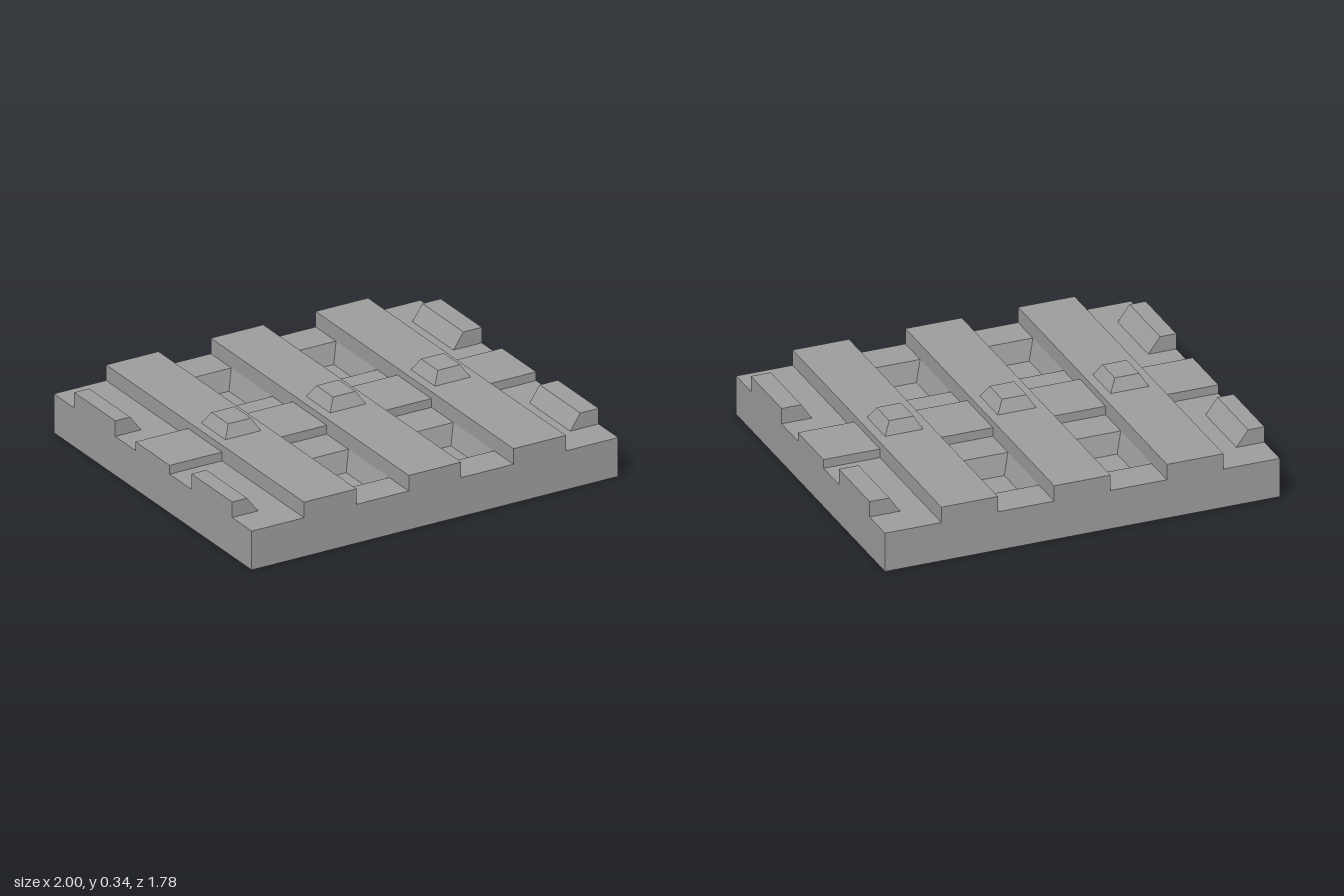
import * as THREE from 'three';

const material = new THREE.MeshStandardMaterial({ color: 0x9c9c9c, flatShading: true });

// Box face numbers
const RIGHT = 0, LEFT = 1, TOP = 2, BOTTOM = 3, FRONT = 4, BACK = 5;

// Block spanning x, y and z ranges. inset = [left, right, back, front] moves the sides in
// at the top (or at the bottom for a sunken pit); only the faces in keep are made.
function block(name, [x0, x1], [y0, y1], [z0, z1], { inset = [0, 0, 0, 0], keep, sunken = false } = {}) {
  const faces = keep ?? [RIGHT, LEFT, TOP, FRONT, BACK];
  const box = new THREE.BoxGeometry(1, 1, 1);
  const pos = box.attributes.position;
  for (let i = 0; i < pos.count; i++) {
    const k = (pos.getY(i) > 0) !== sunken ? 1 : 0;
    pos.setXYZ(i,
      pos.getX(i) < 0 ? x0 + k * inset[0] : x1 - k * inset[1],
      pos.getY(i) < 0 ? y0 : y1,
      pos.getZ(i) < 0 ? z0 + k * inset[2] : z1 - k * inset[3]);
  }
  const source = Array.from(box.index.array);
  const index = faces.flatMap(f => source.slice(f * 6, f * 6 + 6));
  if (sunken) index.reverse(); // a pit is seen from the inside
  box.setIndex(index);
  box.clearGroups();
  const geometry = box.toNonIndexed();
  geometry.computeVertexNormals();
  const mesh = new THREE.Mesh(geometry, material);
  mesh.name = name;
  return mesh;
}

export function createModel() {
  const model = new THREE.Group();
  model.name = 'interlockingTile';

  const depth = 0.89, floorY = 0.2, ribY = 0.28, barY = 0.245, pitY = 0.1;
  const fullZ = [-depth, depth];
  const barZ = [-0.155, 0.152];
  const cellZ = [[-0.706, -0.337], [0.348, 0.714]];
  const ribs = [[-5 / 7, -3 / 7], [-1 / 7, 1 / 7], [3 / 7, 5 / 7]];
  const channels = [[-1, -5 / 7], [-3 / 7, -1 / 7], [1 / 7, 3 / 7], [5 / 7, 1]];

  // Plate sides and underside
  model.add(block('basePlate', [-1, 1], [0, floorY], fullZ,
    { keep: [RIGHT, LEFT, BOTTOM, FRONT, BACK] }));

  // Long ribs, each with a small tapered stud in the middle
  for (const rib of ribs) {
    model.add(block('rib', rib, [floorY, ribY], fullZ));
    const cx = (rib[0] + rib[1]) / 2;
    model.add(block('stud', [cx - 0.097, cx + 0.097], [ribY, 0.34], [-0.108, 0.108],
      { inset: [0.035, 0.035, 0.033, 0.033] }));
  }

  channels.forEach((channel, i) => {
    // Raised bar across the channel
    model.add(block('crossBar', channel, [floorY, barY], barZ));

    const isEdge = i === 0 || i === channels.length - 1;
    const floors = isEdge
      ? [[-depth, barZ[0]], [barZ[1], depth]]
      : [[-depth, cellZ[0][0]], [cellZ[0][1], barZ[0]], [barZ[1], cellZ[1][0]], [cellZ[1][1], depth]];
    for (const z of floors) {
      model.add(block('channelFloor', channel, [0, floorY], z, { keep: [TOP] }));
    }

    for (const z of cellZ) {
      if (isEdge) {
        // Half lug on the outer edge, sloping inwards
        const x = i === 0 ? [-1, -0.858] : [0.845, 1];
        const inset = i === 0 ? [0, 0.06, 0, 0] : [0.055, 0, 0, 0];
        model.add(block('edgeLug', x, [floorY, ribY], z, { inset }));
      } else {
        // Tapered pit in the channel floor
        model.add(block('pit', channel, [pitY, floorY], z, {
          inset: [0.032, 0.032, 0.032, 0.032],
          keep: [RIGHT, LEFT, BOTTOM, FRONT, BACK],
          sunken: true,
        }));
      }
    }
  });

  return model;
}
